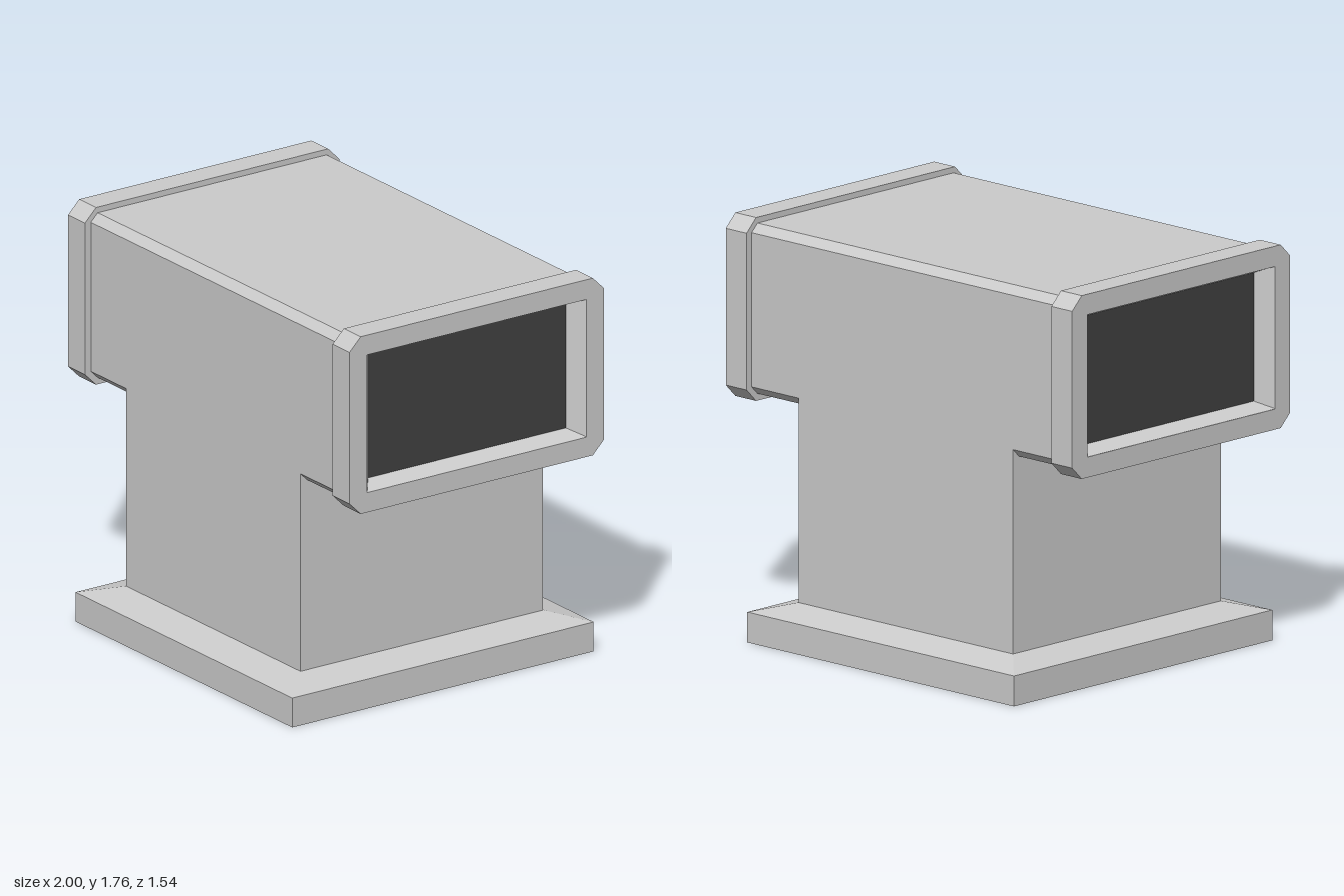
import * as THREE from 'three';

const grey = new THREE.MeshStandardMaterial({ color: 0xcccccc, flatShading: true });
const greyThin = new THREE.MeshStandardMaterial({ color: 0xcccccc, flatShading: true, side: THREE.DoubleSide });
const dark = new THREE.MeshStandardMaterial({ color: 0x404040 });

// Rectangle with chamfered corners (chamfer 0 gives a plain one)
function rectPoints(w, h, c = 0) {
  const p = c
    ? [[-w + c, -h], [w - c, -h], [w, -h + c], [w, h - c], [w - c, h], [-w + c, h], [-w, h - c], [-w, -h + c]]
    : [[-w, -h], [w, -h], [w, h], [-w, h]];
  return p.map(([x, y]) => new THREE.Vector2(x, y));
}

function extrudeRect(w, h, c, depth, hole) {
  const shape = new THREE.Shape(rectPoints(w, h, c));
  if (hole) shape.holes.push(new THREE.Path(rectPoints(hole[0], hole[1])));
  return new THREE.ExtrudeGeometry(shape, { depth, bevelEnabled: false });
}

// Four-sided frustum whose flat sides face the axes, unit half widths
function squareFrustum(top, bottom, height, open = false) {
  const s = Math.SQRT2;
  return new THREE.CylinderGeometry(top * s, bottom * s, height, 4, 1, open).rotateY(Math.PI / 4);
}

function add(parent, name, geometry, material = grey, x = 0, y = 0, z = 0) {
  const mesh = new THREE.Mesh(geometry, material);
  mesh.name = name;
  mesh.position.set(x, y, z);
  parent.add(mesh);
  return mesh;
}

export function createModel() {
  const model = new THREE.Group();
  model.name = 'airDuctTee';

  // Horizontal duct, chamfered along its length
  const duct = extrudeRect(0.62, 0.365, 0.035, 1.76).rotateY(Math.PI / 2);
  add(model, 'horizontalDuct', duct, grey, -0.88, 1.375, 0);

  // Flanged openings at both ends
  for (const side of [1, -1]) {
    const end = new THREE.Group();
    end.name = side > 0 ? 'leftOpening' : 'rightOpening';
    const flange = extrudeRect(0.65, 0.3925, 0.057, 0.12, [0.56, 0.305]).rotateY(Math.PI / 2);
    add(end, 'flange', flange, grey, 0.88, 0, 0);
    // Tapered inner lip leading to the dark back panel
    const lip = squareFrustum(1, 0.902, 0.07, true).rotateZ(-Math.PI / 2).scale(1, 0.305, 0.56);
    add(end, 'innerLip', lip, greyThin, 0.965, 0.002, 0);
    add(end, 'darkPanel', new THREE.BoxGeometry(0.04, 0.56, 1.03), dark, 0.91, 0.002, 0);
    end.position.y = 1.3725;
    if (side < 0) end.rotation.y = Math.PI;
    model.add(end);
  }

  // Vertical column
  add(model, 'column', new THREE.BoxGeometry(1.24, 0.885, 1.24), grey, -0.01, 0.6025, 0);

  // Base with sloped skirt and a stepped grille underneath
  const base = new THREE.Group();
  base.name = 'base';
  base.position.x = -0.01;
  model.add(base);
  add(base, 'skirt', squareFrustum(0.62, 0.77, 0.04), grey, 0, 0.15, 0);

  const frame = (outer, inner, height) =>
    extrudeRect(outer, outer, 0, height, [inner, inner]).rotateX(-Math.PI / 2);
  add(base, 'rim', frame(0.77, 0.67, 0.13));
  add(base, 'grilleBack', new THREE.BoxGeometry(1.34, 0.07, 1.34), grey, 0, 0.085, 0);
  for (const [outer, inner] of [[0.625, 0.535], [0.49, 0.41], [0.37, 0.3]]) {
    add(base, 'grilleRing', frame(outer, inner, 0.06));
  }
  return model;
}
